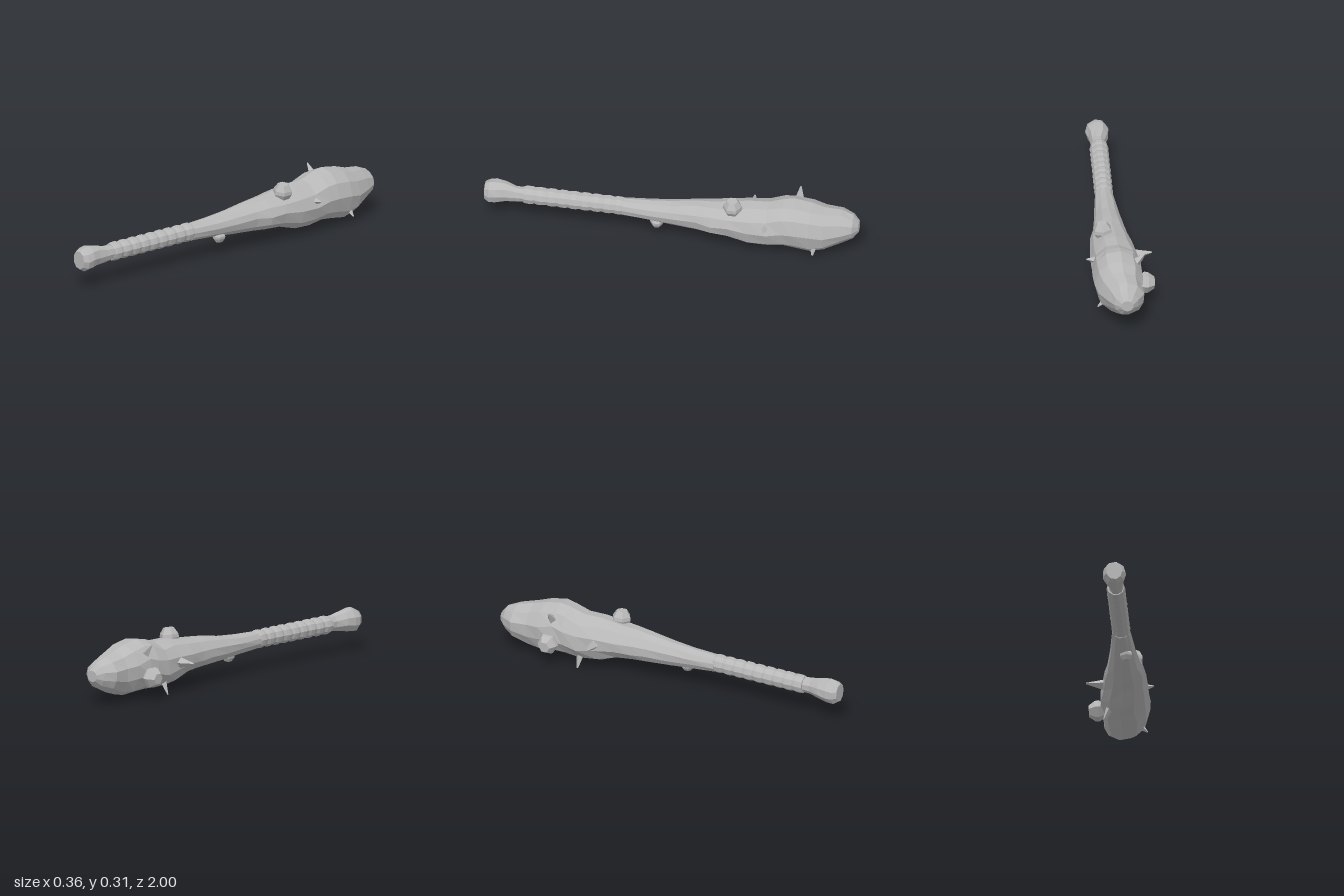
import * as THREE from 'three';

const wood = new THREE.MeshStandardMaterial({ color: 0xb8b8b8, flatShading: true });
wood.name = 'grey wood';

// small seeded generator for the hand-carved unevenness
function seeded(seed) {
  return () => {
    seed = (seed * 16807) % 2147483647;
    return seed / 2147483647;
  };
}

// closed skin through rings [z, xMin, xMax, yMin, yMax], listed from back to front
function loft(name, rings, sides, rough, seed) {
  const rand = seeded(seed);
  const pos = [], idx = [];
  for (const [z, x0, x1, y0, y1] of rings) {
    for (let i = 0; i < sides; i++) {
      const a = (i / sides) * Math.PI * 2 + (rand() - 0.5) * rough * 2;
      const r = 1.02 + (rand() - 0.5) * rough;
      pos.push((x0 + x1) / 2 + Math.cos(a) * r * (x1 - x0) / 2,
        (y0 + y1) / 2 + Math.sin(a) * r * (y1 - y0) / 2, z);
    }
  }
  for (let j = 0; j < rings.length - 1; j++) {
    for (let i = 0; i < sides; i++) {
      const a = j * sides + i, b = j * sides + (i + 1) % sides;
      idx.push(a, b, b + sides, a, b + sides, a + sides);
    }
  }
  // end caps
  const last = (rings.length - 1) * sides;
  for (let i = 1; i < sides - 1; i++) {
    idx.push(0, i + 1, i, last, last + i, last + i + 1);
  }
  const geo = new THREE.BufferGeometry();
  geo.setAttribute('position', new THREE.Float32BufferAttribute(pos, 3));
  geo.setIndex(idx);
  geo.computeVertexNormals();
  const mesh = new THREE.Mesh(geo, wood);
  mesh.name = name;
  return mesh;
}

// points a y-up mesh along a direction
function aim(mesh, dir) {
  mesh.quaternion.setFromUnitVectors(new THREE.Vector3(0, 1, 0), dir.clone().normalize());
  return mesh;
}

// four-sided thorn from a base point to its tip
function spike(base, tip, radius) {
  const a = new THREE.Vector3(...base), b = new THREE.Vector3(...tip);
  const mesh = new THREE.Mesh(
    new THREE.CylinderGeometry(0.004, radius, a.distanceTo(b), 4), wood);
  mesh.position.copy(a).lerp(b, 0.5);
  mesh.name = 'spike';
  return aim(mesh, b.sub(a));
}

// six-sided faceted stud, widest in the middle
function stud(center, dir, radius, height) {
  const profile = [[0, -0.5], [0.65, -0.5], [1, -0.1], [0.95, 0.12], [0.55, 0.5], [0, 0.5]]
    .map(([r, h]) => new THREE.Vector2(r * radius, h * height));
  const mesh = new THREE.Mesh(new THREE.LatheGeometry(profile, 6), wood);
  mesh.position.set(...center);
  mesh.name = 'stud';
  return aim(mesh, new THREE.Vector3(...dir));
}

export function createModel() {
  const club = new THREE.Group();
  club.name = 'club';

  // swollen head tapering to the shaft
  club.add(loft('head', [
    [-1.0, -0.03, 0.035, 0.135, 0.195],
    [-0.97, -0.06, 0.07, 0.1, 0.23],
    [-0.91, -0.095, 0.1, 0.07, 0.255],
    [-0.82, -0.09, 0.135, 0.035, 0.275],
    [-0.75, -0.1, 0.153, 0.022, 0.3],
  ].concat([
    [-0.66, -0.108, 0.155, 0.035, 0.313],
    [-0.6, -0.108, 0.152, 0.038, 0.305],
    [-0.52, -0.105, 0.15, 0.03, 0.275],
    [-0.42, -0.09, 0.147, 0.037, 0.273],
    [-0.31, -0.078, 0.138, 0.07, 0.26],
    [-0.22, -0.065, 0.13, 0.078, 0.25],
    [-0.14, -0.06, 0.11, 0.085, 0.243],
    [0.0, -0.045, 0.09, 0.095, 0.222],
    [0.12, -0.037, 0.078, 0.106, 0.214],
    [0.26, -0.03, 0.064, 0.115, 0.208],
  ]), 11, 0.06, 77));

  // ribbed grip
  const ribs = [];
  const count = 9, start = 0.25, end = 0.79, step = (end - start) / count;
  for (let i = 0; i < count; i++) {
    for (const [t, r] of [[0, 0.044], [0.3, 0.049], [0.7, 0.049]]) {
      const z = start + (i + t) * step;
      const cx = 0.017 - 0.02 * (z - start) / (end - start);
      ribs.push([z, cx - r, cx + r, 0.164 - r, 0.164 + r]);
    }
  }
  ribs.push([end, -0.048, 0.042, 0.119, 0.209]);
  club.add(loft('grip', ribs, 10, 0.02, 31));

  // knobbed pommel
  club.add(loft('pommel', [
    [0.77, -0.037, 0.037, 0.125, 0.205],
    [0.83, -0.037, 0.038, 0.12, 0.208],
    [0.89, -0.06, 0.042, 0.111, 0.223],
    [0.94, -0.07, 0.055, 0.102, 0.232],
    [0.975, -0.066, 0.052, 0.1, 0.225],
    [1.0, -0.05, 0.035, 0.115, 0.213],
  ], 9, 0.05, 19));

  // studs
  club.add(
    stud([0.076, 0.27, -0.335], [0.1, 1, 0], 0.053, 0.085),
    stud([-0.125, 0.127, -0.672], [-1, -0.05, 0], 0.057, 0.088),
    stud([0.04, 0.1, 0.075], [0.05, -1, 0], 0.037, 0.055));

  // thorns
  club.add(
    spike([-0.065, 0.24, -0.67], [-0.12, 0.3, -0.67], 0.029),
    spike([-0.085, 0.162, -0.42], [-0.18, 0.168, -0.415], 0.03),
    spike([0.13, 0.19, -0.515], [0.178, 0.196, -0.515], 0.02),
    spike([0.1, 0.083, -0.77], [0.14, 0.047, -0.77], 0.02),
    spike([-0.05, 0.08, -0.515], [-0.087, 0.003, -0.515], 0.024));

  return club;
}
